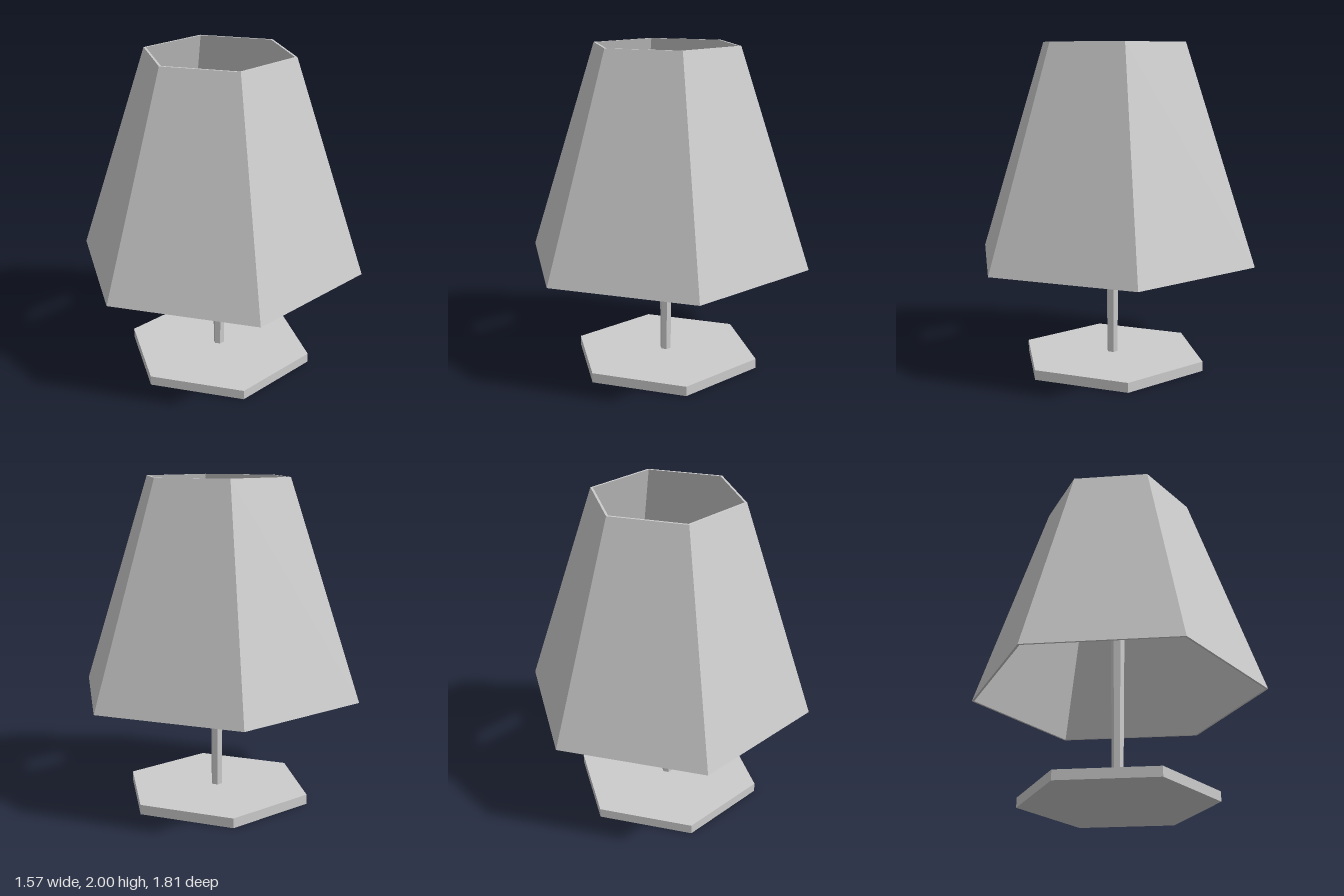
import * as THREE from 'three';

// Six-sided table lamp: each part is a hexagonal lathe with corners on the z axis.
const SIDES = 6;

export function createModel() {
  const lamp = new THREE.Group();
  lamp.name = 'tableLamp';
  const grey = new THREE.MeshStandardMaterial({ color: 0xcccccc, flatShading: true });
  grey.name = 'light grey';

  // Profile is [radius, height], listed from bottom to top on the outside
  function addHexPart(name, profile) {
    const points = profile.map(([r, y]) => new THREE.Vector2(r, y));
    const mesh = new THREE.Mesh(new THREE.LatheGeometry(points, SIDES), grey);
    mesh.name = name;
    lamp.add(mesh);
  }

  // Flat foot plate
  addHexPart('base', [[0, 0], [0.595, 0], [0.595, 0.06], [0, 0.06]]);

  // Slender stem, widening slightly upwards
  addHexPart('stem', [[0.034, 0.06], [0.043, 1.12]]);

  // Faceted bulb with a pointed top
  addHexPart('bulb', [[0.043, 1.12], [0.15, 1.3], [0, 1.43]]);

  // Thin-walled shade, open at both ends: outside, top rim, inside, bottom rim
  addHexPart('shade', [[0.905, 0.68], [0.462, 2], [0.447, 2], [0.89, 0.68], [0.905, 0.68]]);

  return lamp;
}
